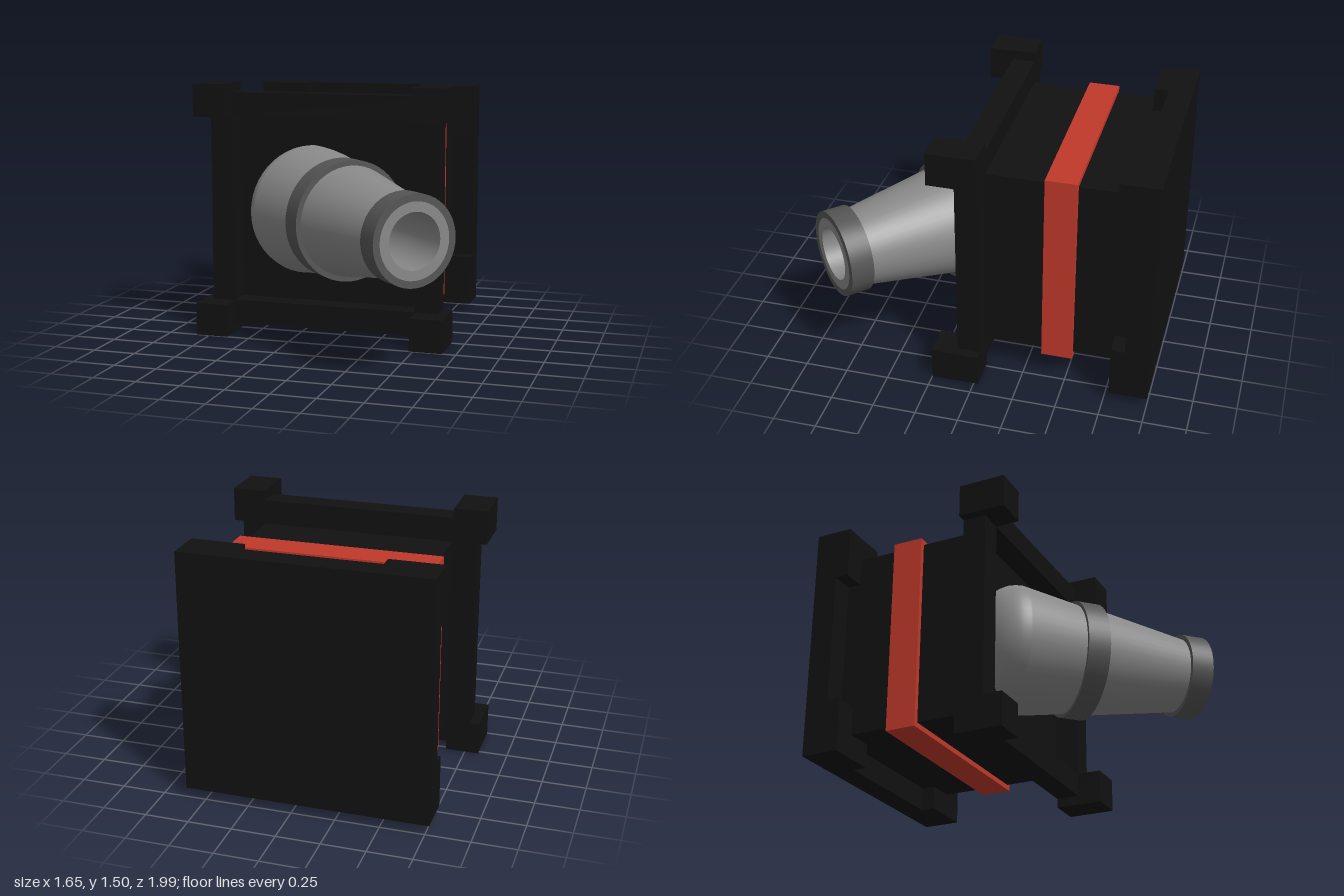
import * as THREE from 'three';

const CX = -0.08, CY = 0.755; // centre line of the housing

export function createModel() {
  const model = new THREE.Group();
  const paint = (color) => new THREE.MeshStandardMaterial({ color });
  const black = paint(0x111111), red = paint(0xc0392b), grey = paint(0x888888), dark = paint(0x555555);

  const add = (parent, name, geometry, material) => {
    const mesh = new THREE.Mesh(geometry, material);
    mesh.name = name;
    parent.add(mesh);
    return mesh;
  };
  // Square block centred at an offset from the centre line, between two depths
  const block = (name, size, z0, z1, material, dx = 0, dy = 0) =>
    add(model, name, new THREE.BoxGeometry(size, size, z1 - z0), material)
      .position.set(CX + dx, CY + dy, (z0 + z1) / 2);

  // Housing, coloured band and back plate
  block('body', 1.11, -0.87, -0.025, black);
  block('band', 1.17, -0.54, -0.36, red);
  block('backPlate', 1.39, -1, -0.86, black);

  // Corner pads on the back plate and corner blocks on the front frame
  for (const sx of [-1, 1]) for (const sy of [-1, 1]) {
    block('backCornerPad', 0.305, -0.86, -0.78, black, sx * 0.5425, sy * 0.5425);
    block('frontCornerBlock', 0.193, -0.025, 0.25, black, sx * 0.6535, sy * 0.6535);
  }

  // Open square frame around the front face
  const outline = (Type, h) => new Type([[-h, -h], [h, -h], [h, h], [-h, h]].map(([x, y]) => new THREE.Vector2(x, y)));
  const frameShape = outline(THREE.Shape, 0.695);
  frameShape.holes.push(outline(THREE.Path, 0.555));
  add(model, 'frontFrame', new THREE.ExtrudeGeometry(frameShape, { depth: 0.135, bevelEnabled: false }), black)
    .position.set(CX, CY, -0.025);

  // Nozzle group: local y runs along the nozzle axis, 45 degrees to the front left
  const nozzle = new THREE.Group();
  nozzle.name = 'nozzle';
  nozzle.position.set(-0.17, CY, 0);
  nozzle.quaternion.setFromUnitVectors(new THREE.Vector3(0, 1, 0), new THREE.Vector3(1, 0, 1).normalize());
  model.add(nozzle);
  const lathe = (name, points, material) =>
    add(nozzle, name, new THREE.LatheGeometry(points.map(([r, t]) => new THREE.Vector2(r, t)), 48), material);

  // Rounded root, tapering towards the collar
  const dome = new THREE.SplineCurve([[0, -0.27], [0.12, -0.26], [0.23, -0.225], [0.32, -0.166], [0.37, -0.09], [0.383, -0.02]]
    .map(([r, t]) => new THREE.Vector2(r, t))).getPoints(20).map((p) => [Math.max(p.x, 0), p.y]);
  lathe('nozzleRoot', [...dome, [0.325, 0.33]], grey);

  // Collar, tapered barrel and end ring
  add(nozzle, 'collar', new THREE.CylinderGeometry(0.346, 0.346, 0.134, 48), dark).position.y = 0.394;
  lathe('barrel', [[0.318, 0.45], [0.21, 1.1]], grey);
  lathe('endRing', [[0.2, 1.022], [0.25, 1.022]], dark);
  lathe('endRing', [[0.25, 1.022], [0.25, 1.156]], dark);
  lathe('endRing', [[0.25, 1.156], [0.21, 1.156]], dark);

  // Muzzle face with a blind bore
  lathe('muzzleFace', [[0.21, 1.156], [0.155, 1.156]], grey);
  lathe('bore', [[0.155, 1.156], [0.155, 0.63]], grey);
  lathe('boreEnd', [[0.155, 0.63], [0, 0.63]], dark);

  return model;
}
